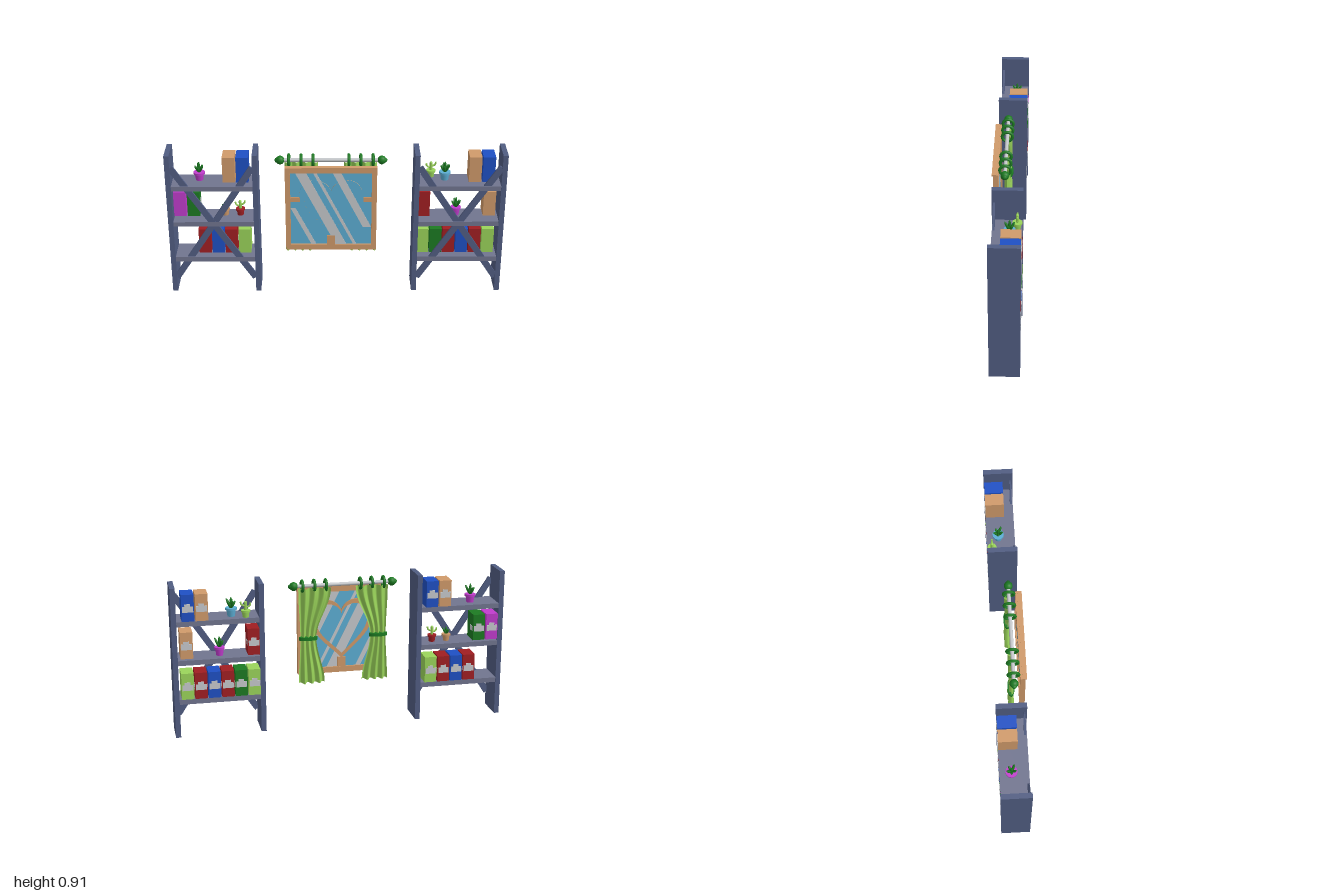
import * as THREE from 'three';

const mat = (name, color, side = THREE.FrontSide) =>
  Object.assign(new THREE.MeshStandardMaterial({ color, side }), { name });
const M = {
  post: mat('slate blue', 0x515d82),
  shelf: mat('grey violet', 0x71758f),
  tan: mat('tan wood', 0xd09a6a),
  blue: mat('book blue', 0x1f50c4),
  red: mat('book red', 0xa01e22),
  green: mat('dark green', 0x1c7a22),
  lime: mat('lime green', 0x9ad45a, THREE.DoubleSide),
  purple: mat('purple', 0xc03ccc),
  glass: mat('glass blue', 0x5caed4),
  grey: mat('light grey', 0xc6c9cc),
};

function add(parent, name, geo, material, x = 0, y = 0, z = 0) {
  const m = new THREE.Mesh(geo, material);
  m.name = name;
  m.position.set(x, y, z);
  parent.add(m);
  return m;
}

// Box given by its limits on each axis
function box(parent, name, material, x0, x1, y0, y1, z0, z1) {
  return add(parent, name, new THREE.BoxGeometry(x1 - x0, y1 - y0, z1 - z0), material,
    (x0 + x1) / 2, (y0 + y1) / 2, (z0 + z1) / 2);
}

// Two side posts, three shelves and a crossed brace along the front
function makeRack(cx) {
  const g = new THREE.Group();
  g.name = 'shelfUnit';
  for (const s of [-1, 1]) {
    add(g, 'sidePost', new THREE.BoxGeometry(0.03, 0.91, 0.175), M.post, cx + s * 0.255, 0.455, -0.003);
    const brace = add(g, 'crossBrace', new THREE.BoxGeometry(0.038, 0.88, 0.012), M.post, cx, 0.46, 0.07 + s * 0.001);
    brace.rotation.z = s * Math.atan2(0.48, 0.74);
  }
  for (const y of [0.22, 0.46, 0.695])
    add(g, 'shelf', new THREE.BoxGeometry(0.48, 0.03, 0.168), M.shelf, cx, y, -0.004);
  return g;
}

// Book box with a pale label on the back, wrapped round the sides of some colours
function addBook(g, color, x, y) {
  const w = 0.073, h = 0.16, back = -0.088;
  box(g, 'book', M[color], x, x + w, y, y + h, back, 0.022);
  box(g, 'bookLabel', M.grey, x + 0.005, x + w - 0.005, y + 0.055, y + 0.09, back - 0.003, back + 0.001);
  box(g, 'bookLabel', M.grey, x + 0.022, x + w - 0.018, y + 0.085, y + 0.105, back - 0.003, back + 0.001);
  if (color === 'red' || color === 'green')
    box(g, 'bookSideLabel', M.grey, x - 0.002, x + w + 0.002, y + 0.055, y + 0.085, back + 0.01, -0.03);
}

// Tapered pot with rim
function addPot(g, material, r, h) {
  add(g, 'pot', new THREE.CylinderGeometry(r * 0.85, r * 0.65, h, 12), material, 0, h / 2, 0);
  add(g, 'potRim', new THREE.CylinderGeometry(r, r, h * 0.25, 12), material, 0, h * 0.9, 0);
}

// Pot with pointed leaves fanning out
function makeSpikyPlant(pot, leaf, r, h, leafH) {
  const g = new THREE.Group();
  g.name = 'spikyPlant';
  addPot(g, pot, r, h);
  for (let i = 0; i < 6; i++) {
    const tilt = new THREE.Group();
    tilt.position.y = h * 0.9;
    tilt.rotation.set(0, i * 1.257, i === 5 ? 0 : 0.5, 'YXZ');
    const len = leafH * (i === 5 ? 1 : 0.75 + 0.1 * (i % 3));
    const blade = new THREE.SphereGeometry(1, 8, 6);
    blade.scale(r * 0.24, len / 2, r * 0.24);
    add(tilt, 'leaf', blade, leaf, 0, len / 2, 0);
    g.add(tilt);
  }
  return g;
}

// Pot with an upright cactus and two bent arms
function makeCactus(pot, r, h, stemH) {
  const g = new THREE.Group();
  g.name = 'cactus';
  addPot(g, pot, r, h);
  add(g, 'cactusStem', new THREE.CapsuleGeometry(r * 0.32, stemH - r * 0.64, 4, 8), M.lime, 0, h + stemH / 2 - 0.005, 0);
  for (const s of [-1, 1]) {
    const y = h + stemH * (s > 0 ? 0.45 : 0.3);
    const path = new THREE.QuadraticBezierCurve3(new THREE.Vector3(0, y, 0),
      new THREE.Vector3(s * r, y, 0), new THREE.Vector3(s * r, y + stemH * 0.35, 0));
    add(g, 'cactusArm', new THREE.TubeGeometry(path, 6, r * 0.2, 7), M.lime);
    add(g, 'cactusArmTip', new THREE.SphereGeometry(r * 0.2, 7, 5), M.lime, s * r, y + stemH * 0.35, 0);
  }
  return g;
}

const CX = -0.03; // window centre line

function heartPath(Type, k) {
  const p = new Type(), b = (...a) => p.bezierCurveTo(...a.map((v) => v * k));
  p.moveTo(0, -0.19 * k);
  b(-0.06, -0.12, -0.19, -0.04, -0.19, 0.07);
  b(-0.19, 0.14, -0.15, 0.18, -0.1, 0.18);
  b(-0.05, 0.18, -0.01, 0.15, 0, 0.11);
  b(0.01, 0.15, 0.05, 0.18, 0.1, 0.18);
  b(0.15, 0.18, 0.19, 0.14, 0.19, 0.07);
  b(0.19, -0.04, 0.06, -0.12, 0, -0.19);
  return p;
}

function makeWindow() {
  const g = new THREE.Group();
  g.name = 'window';
  // Frame with a small ledge on top
  box(g, 'frameSide', M.tan, -0.3, -0.27, 0.29, 0.835, 0.058, 0.088);
  box(g, 'frameSide', M.tan, 0.21, 0.24, 0.29, 0.835, 0.058, 0.088);
  box(g, 'frameTop', M.tan, -0.27, 0.21, 0.8, 0.835, 0.058, 0.088);
  box(g, 'frameBottom', M.tan, -0.27, 0.21, 0.29, 0.325, 0.058, 0.088);
  box(g, 'frameLedge', M.tan, -0.3, 0.24, 0.827, 0.838, 0.07, 0.096);
  box(g, 'glassPane', M.glass, -0.27, 0.21, 0.325, 0.8, 0.069, 0.075);
  // Heart: wood at the back and edges, glass colour in front
  const heart = heartPath(THREE.Shape, 1);
  heart.holes.push(heartPath(THREE.Path, 0.84));
  const ring = (depth) => new THREE.ExtrudeGeometry(heart, { depth, bevelEnabled: false, curveSegments: 10 });
  add(g, 'heartFrame', ring(0.019), M.tan, CX, 0.57, 0.06);
  add(g, 'heartFace', ring(0.001), M.glass, CX, 0.57, 0.079);
  // Short bars holding the heart
  box(g, 'heartBar', M.tan, -0.272, -0.214, 0.61, 0.64, 0.06, 0.084);
  box(g, 'heartBar', M.tan, 0.163, 0.212, 0.61, 0.64, 0.06, 0.084);
  box(g, 'heartBar', M.tan, CX - 0.025, CX + 0.025, 0.323, 0.385, 0.06, 0.084);
  // Slanted reflections: left and right x at the top edge, then y range
  for (const [x0, x1, yTop, yEnd] of [[-0.24, -0.175, 0.8, 0.325], [-0.135, -0.115, 0.8, 0.325],
    [-0.02, 0.03, 0.8, 0.44], [-0.385, -0.355, 0.57, 0.325]]) {
    const at = (x, y) => new THREE.Vector2(x + (0.8 - y) * 0.5, y);
    const s = new THREE.Shape([at(x0, yEnd), at(x1, yEnd), at(x1, yTop), at(x0, yTop)]);
    for (const z of [0.0675, 0.0803])
      add(g, 'glassReflection', new THREE.ExtrudeGeometry(s, { depth: 0.001, bevelEnabled: false }), M.grey, 0, 0, z);
  }
  return g;
}

// Pleated curtain, gathered at the tie
function curtainGeometry(side) {
  const geo = new THREE.PlaneGeometry(1, 1, 40, 20), p = geo.attributes.position;
  const ease = (a, b, t) => a + (b - a) * (0.5 - 0.5 * Math.cos(Math.PI * t));
  const tie = 0.52;
  for (let i = 0; i < p.count; i++) {
    const u = p.getX(i) + 0.5, v = 0.5 - p.getY(i);
    const above = v < tie, t = above ? v / tie : (v - tie) / (1 - tie);
    const inner = above ? ease(0.075, 0.165, t) : ease(0.165, 0.115, t);
    const outer = above ? ease(0.272, 0.262, t) : ease(0.262, 0.274, t);
    const amp = above ? ease(0.016, 0.012, t) : ease(0.012, 0.02, t);
    p.setXYZ(i, CX + side * (inner + (outer - inner) * u), 0.84 - 0.59 * v,
      0.008 + amp * Math.sin(u * Math.PI * 7));
  }
  geo.computeVertexNormals();
  return geo;
}

function makeCurtains() {
  const g = new THREE.Group();
  g.name = 'curtains';
  const Y = 0.855, Z = 0.02;
  add(g, 'curtainRod', new THREE.CylinderGeometry(0.011, 0.011, 0.6, 12), M.grey, CX, Y, Z).rotation.z = Math.PI / 2;
  for (const s of [-1, 1]) {
    add(g, 'curtain', curtainGeometry(s), M.lime);
    const tie = add(g, 'curtainTie', new THREE.CylinderGeometry(0.056, 0.056, 0.02, 20), M.green, CX + s * 0.214, 0.533, 0.008);
    tie.scale.z = 0.38;
    add(g, 'rodFinial', new THREE.SphereGeometry(0.026, 12, 8), M.green, CX + s * 0.298, Y, Z);
    add(g, 'rodFinialTip', new THREE.SphereGeometry(0.015, 10, 6), M.green, CX + s * 0.316, Y, Z);
    for (const d of [0.105, 0.175, 0.247])
      add(g, 'curtainRing', new THREE.TorusGeometry(0.031, 0.009, 8, 18), M.green, CX + s * d, Y, Z).rotation.y = Math.PI / 2;
  }
  return g;
}

export function createModel() {
  const model = new THREE.Group();
  model.name = 'shelvesAndWindow';
  const T = 0.71, C = 0.475, B = 0.235; // shelf tops

  const left = makeRack(0.73), right = makeRack(-0.73);
  const books = (g, list) => list.forEach(([c, x, y]) => addBook(g, c, x, y));
  books(right, [['tan', -0.67, T], ['blue', -0.59, T], ['purple', -0.969, C + 0.01], ['green', -0.888, C + 0.01],
    ['red', -0.831, B], ['blue', -0.751, B], ['red', -0.671, B], ['lime', -0.59, B]]);
  books(left, [['tan', 0.785, T], ['blue', 0.865, T], ['red', 0.487, C + 0.01], ['tan', 0.88, C + 0.01]]);
  books(left, ['lime', 'green', 'red', 'blue', 'red', 'lime'].map((c, i) => [c, 0.487 + i * 0.079, B]));

  const place = (g, plant, x, y, z) => { plant.position.set(x, y, z); g.add(plant); };
  place(right, makeSpikyPlant(M.purple, M.green, 0.034, 0.05, 0.07), -0.81, T, -0.02);
  place(right, makeSpikyPlant(M.tan, M.green, 0.027, 0.042, 0.05), -0.665, C, -0.02);
  place(right, makeCactus(M.red, 0.028, 0.042, 0.06), -0.575, C, -0.02);
  place(left, makeCactus(M.lime, 0.028, 0.042, 0.06), 0.565, T, -0.06);
  place(left, makeSpikyPlant(M.glass, M.green, 0.034, 0.05, 0.07), 0.645, T, -0.02);
  place(left, makeSpikyPlant(M.purple, M.green, 0.031, 0.05, 0.07), 0.72, C, -0.02);

  model.add(left, right, makeWindow(), makeCurtains());
  return model;
}
